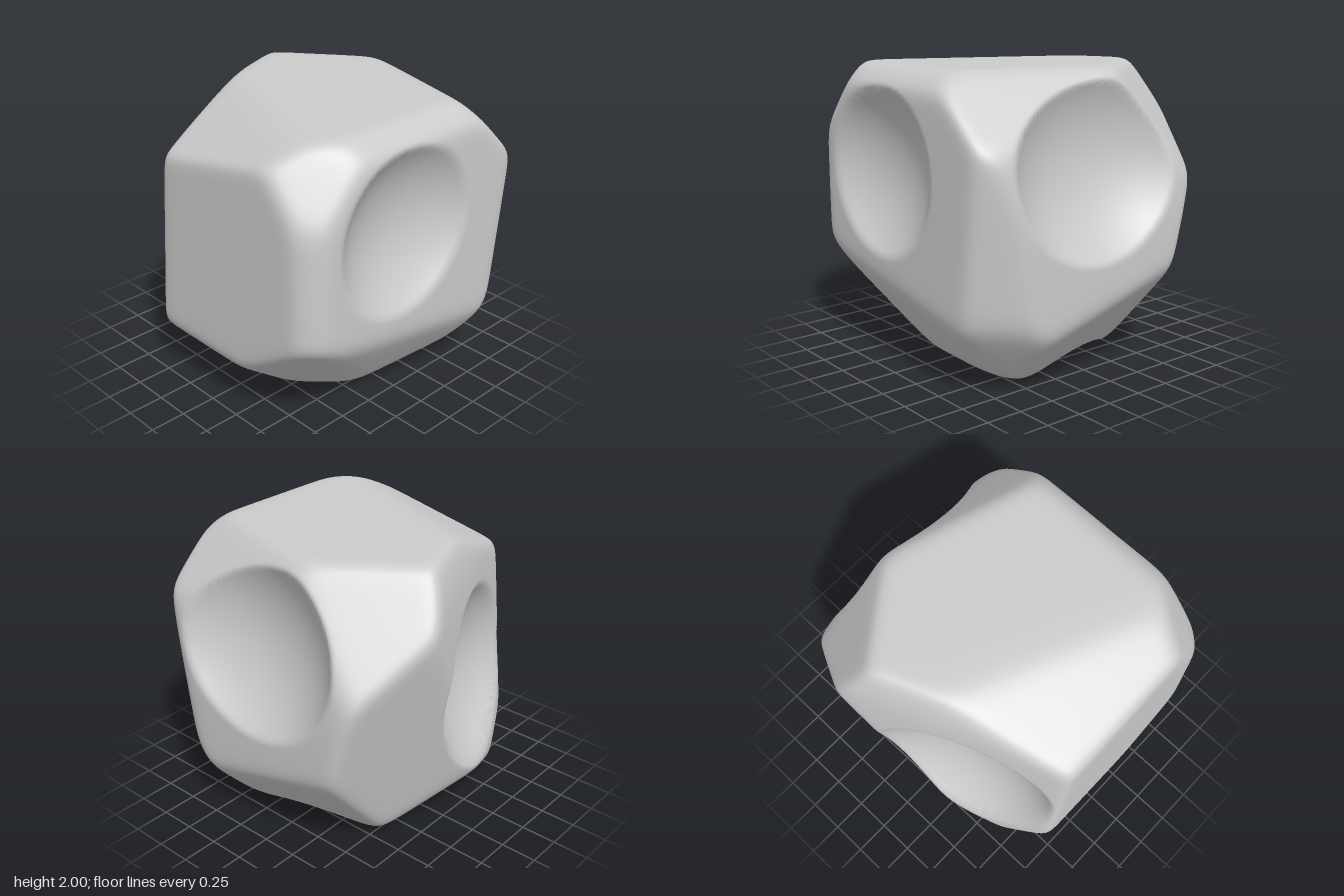
import * as THREE from 'three';
import { mergeVertices } from 'three/addons/utils/BufferGeometryUtils.js';

// Facets of the stone: outward normal and distance from the stone's middle
const facets = [
  [0, 1, 0, 1],               // top
  [0, -1, 0, 1.005],          // bottom
  [-1, 0, 0, 1],              // right side
  [1, 0, 0, 1.005],           // left side
  [0, 0, 1, 0.97],            // front
  [0.975, 0.22, 0, 1.025],    // left side, leaning in
  [-0.37, 0.09, -0.93, 0.81], // back right
  [0.25, -0.25, -0.94, 0.892], // back left
  [-0.41, 0.894, -0.178, 1.078], // upper right slope
  [0.676, 0.707, 0.207, 1.18],   // upper left slope
  [0.66, 0.56, -0.5, 1.165],     // upper back left corner
  [-0.34, 0.4, -0.85, 1],        // upper back edge
  [0, 0.75, 0.66, 1.3],          // upper front edge
  [-0.58, 0.515, 0.63, 1.39],    // upper front right corner
  [-0.7, 0, 0.7, 1.29],          // front right edge
  [0.76, -0.09, 0.64, 1.22],     // front left edge
  [0.83, -0.1, -0.55, 1.23],     // back left edge
  [-0.104, -0.578, 0.81, 1.055], // lower front
  [0.03, -0.88, 0.47, 1.14],     // lower front, turning under
  [-0.5, -0.75, 0.5, 1.125],     // lower front right corner
  [0.6, -0.6, 0.53, 1.275],      // lower front left corner
  [-0.62, -0.78, 0, 1.1],        // lower right
  [0.737, -0.652, -0.181, 1.065], // lower left
  [0, -0.75, -0.66, 1.1],        // lower back
].map(([x, y, z, d]) => {
  const n = new THREE.Vector3(x, y, z);
  const length = n.length();
  return { n: n.divideScalar(length), d: d / length };
});

// Round hollows: centre (from the stone's middle) and radius
const hollows = [
  [-0.17, 0.32, 1.65, 0.885],  // front
  [1.65, 0.51, 0.08, 0.965],   // left side
  [-0.62, -0.01, -1.4, 0.98],  // back right
  [0.25, -1.47, 0.03, 0.7],    // bottom
].map(([x, y, z, r]) => ({ c: new THREE.Vector3(x, y, z), r }));

const EDGE = 0.027; // softness of the facet edges
const RIM = 0.025;  // softness of the hollow rims

// Signed field: negative inside the stone
function field(p) {
  let top = -Infinity;
  const values = facets.map(({ n, d }) => {
    const v = n.dot(p) - d;
    top = Math.max(top, v);
    return v;
  });
  let sum = 0;
  for (const v of values) sum += Math.exp((v - top) / EDGE);
  let f = top + EDGE * Math.log(sum);
  for (const { c, r } of hollows) {
    const g = r - p.distanceTo(c);
    const h = Math.max(RIM - Math.abs(f - g), 0) / RIM;
    f = Math.max(f, g) + h * h * RIM * 0.25;
  }
  return f;
}

// Distance from the middle to the surface along a direction
function reach(dir) {
  const p = new THREE.Vector3();
  let far = 0.3;
  while (far < 1.8 && field(p.copy(dir).multiplyScalar(far)) < 0) far += 0.06;
  let near = far - 0.06;
  for (let i = 0; i < 14; i++) {
    const mid = (near + far) / 2;
    if (field(p.copy(dir).multiplyScalar(mid)) < 0) near = mid;
    else far = mid;
  }
  return (near + far) / 2;
}

// Sphere pushed onto the surface, with normals from the field's slope
function stoneGeometry() {
  let geometry = new THREE.IcosahedronGeometry(1, 80);
  geometry.deleteAttribute('uv');
  geometry.deleteAttribute('normal');
  geometry = mergeVertices(geometry, 1e-5);
  const pos = geometry.attributes.position;
  const normals = new Float32Array(pos.count * 3);
  const p = new THREE.Vector3();
  const q = new THREE.Vector3();
  const n = new THREE.Vector3();
  const e = 0.01;
  for (let i = 0; i < pos.count; i++) {
    p.fromBufferAttribute(pos, i).normalize();
    p.multiplyScalar(reach(p));
    for (const axis of ['x', 'y', 'z']) {
      q.copy(p)[axis] += e;
      const ahead = field(q);
      q[axis] -= 2 * e;
      n[axis] = ahead - field(q);
    }
    n.normalize().toArray(normals, i * 3);
    pos.setXYZ(i, p.x, p.y + 1, p.z);
  }
  geometry.setAttribute('normal', new THREE.BufferAttribute(normals, 3));
  return geometry;
}

export function createModel() {
  const group = new THREE.Group();
  group.name = 'hollowedStone';
  const stone = new THREE.Mesh(
    stoneGeometry(),
    new THREE.MeshStandardMaterial({ color: 0xcccccc })
  );
  stone.name = 'stone';
  group.add(stone);
  return group;
}
